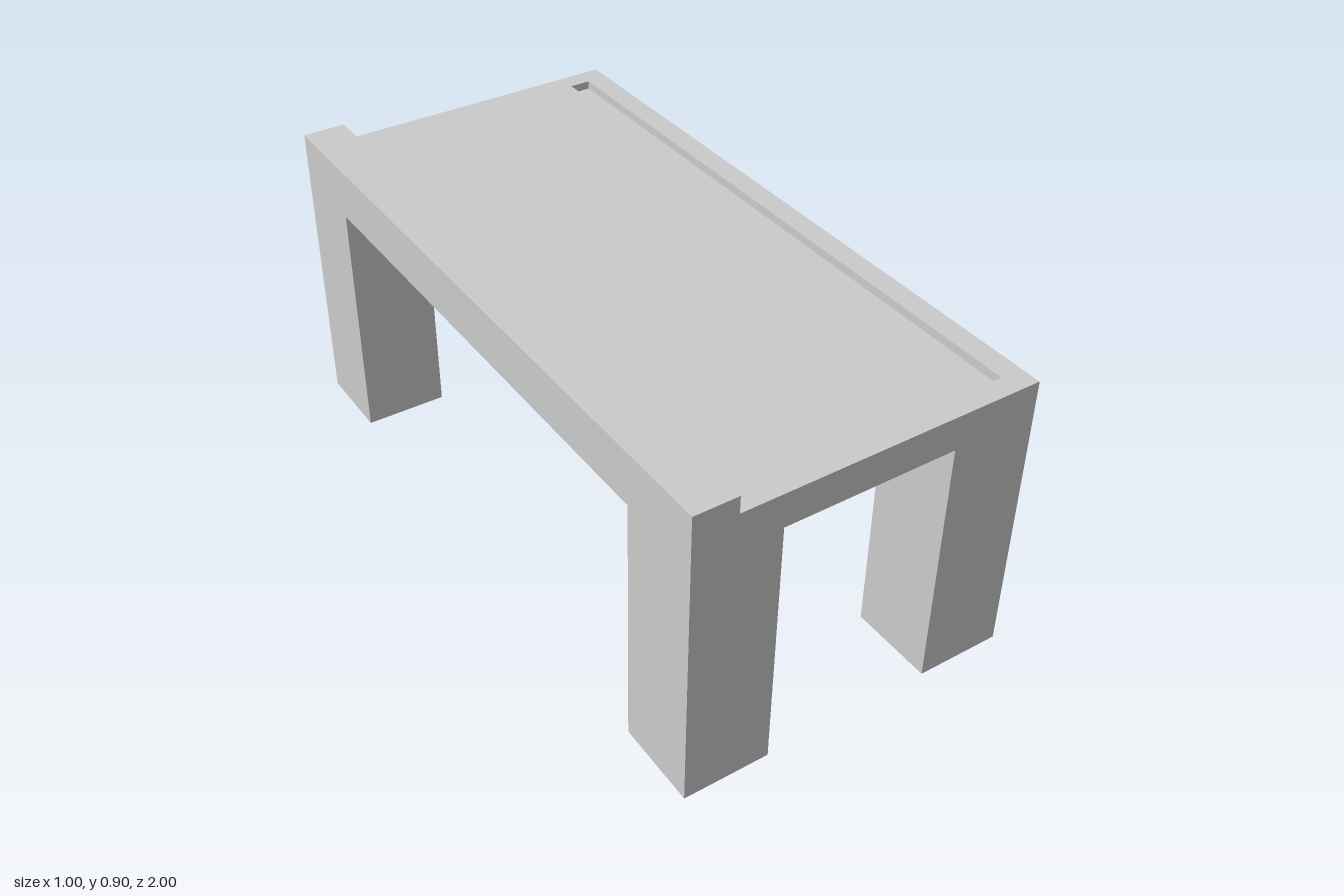
import * as THREE from 'three';

const W = 1, L = 2;
const UNDERSIDE = 0.75, TOP = 0.85, RIDGE_TOP = 0.9;
const LEG = 0.25, RIDGE_W = 0.125;
const GROOVE = { x0: 0.372, x1: 0.435, z: 0.94, depth: 0.025 };

export function createModel() {
  const group = new THREE.Group();
  const material = new THREE.MeshStandardMaterial({ color: 0xcccccc, flatShading: true });

  const add = (name, geometry, x = 0, y = 0, z = 0) => {
    const mesh = new THREE.Mesh(geometry, material);
    mesh.name = name;
    mesh.position.set(x, y, z);
    group.add(mesh);
  };
  // Box placed by the height of its bottom and top
  const addBox = (name, w, d, y0, y1, x, z) =>
    add(name, new THREE.BoxGeometry(w, y1 - y0, d), x, (y0 + y1) / 2, z);

  // Lower slab, which is also the floor of the groove
  const floor = TOP - GROOVE.depth;
  addBox('tableSlab', W, L, UNDERSIDE, floor, 0, 0);

  // Upper layer with the long groove cut through it
  const outline = new THREE.Shape([
    new THREE.Vector2(-W / 2, -L / 2), new THREE.Vector2(W / 2, -L / 2),
    new THREE.Vector2(W / 2, L / 2), new THREE.Vector2(-W / 2, L / 2),
  ]);
  const { x0, x1, z } = GROOVE;
  outline.holes.push(new THREE.Path([
    new THREE.Vector2(x0, -z), new THREE.Vector2(x0, z),
    new THREE.Vector2(x1, z), new THREE.Vector2(x1, -z),
  ]));
  const surface = new THREE.ExtrudeGeometry(outline, { depth: GROOVE.depth, bevelEnabled: false });
  surface.rotateX(-Math.PI / 2);
  add('groovedTop', surface, 0, floor, 0);

  // Raised ridge along the right edge
  addBox('edgeRidge', RIDGE_W, L, TOP, RIDGE_TOP, -W / 2 + RIDGE_W / 2, 0);

  // Four square corner legs
  for (const [sx, side] of [[1, 'Left'], [-1, 'Right']]) {
    for (const [sz, end] of [[1, 'front'], [-1, 'back']]) {
      addBox(`${end}${side}Leg`, LEG, LEG, 0, UNDERSIDE, sx * (W - LEG) / 2, sz * (L - LEG) / 2);
    }
  }

  return group;
}
